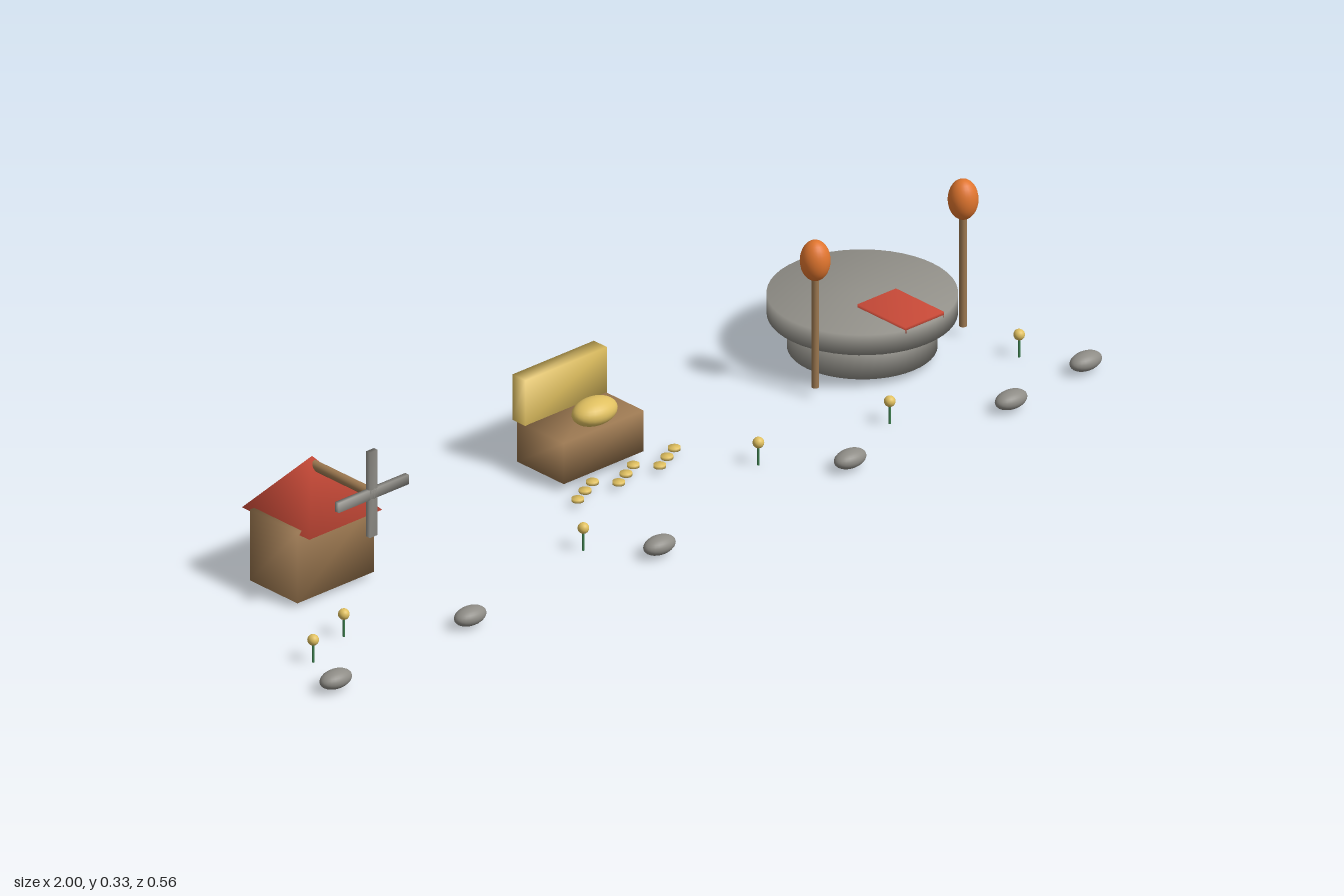
import * as THREE from 'three';
import { mergeVertices } from 'three/addons/utils/BufferGeometryUtils.js';

const material = (color) => new THREE.MeshStandardMaterial({ color });
const WOOD = material(0x9c7850);
const RED = material(0xc94a38);
const STONE = material(0x93918a);
const BLADE = material(0x8e8c86);
const GOLD = material(0xe0c060);
const FLAME = material(0xe0752e);
const GREEN = material(0x3f8050);

// Weld the corners so the shading runs softly over the edges
function soft(geometry) {
  geometry.deleteAttribute('uv');
  geometry.deleteAttribute('normal');
  const welded = mergeVertices(geometry, 1e-5);
  welded.computeVertexNormals();
  return welded;
}

function add(parent, name, geometry, mat, x, y, z) {
  const mesh = new THREE.Mesh(geometry, mat);
  mesh.name = name;
  mesh.position.set(x, y, z);
  parent.add(mesh);
  return mesh;
}

const box = (w, h, d) => soft(new THREE.BoxGeometry(w, h, d));
const disc = (r, h, sides = 48) => soft(new THREE.CylinderGeometry(r, r, h, sides));
const ellipsoid = (rx, ry, rz) => new THREE.SphereGeometry(1, 24, 16).scale(rx, ry, rz);

function group(parent, name, x, z) {
  const g = new THREE.Group();
  g.name = name;
  g.position.set(x, 0, z);
  parent.add(g);
  return g;
}

// Windmill: box house, pyramid roof, axle and crossed blades
function buildWindmill(parent) {
  const mill = group(parent, 'windmill', -0.691, -0.102);
  add(mill, 'millHouse', box(0.195, 0.148, 0.131), WOOD, 0, 0.084, 0);
  const roof = soft(new THREE.ConeGeometry(0.131, 0.11, 4).rotateY(Math.PI / 4));
  add(mill, 'millRoof', roof, RED, 0, 0.206, 0);
  const axle = soft(new THREE.CylinderGeometry(0.01, 0.01, 0.155, 16).rotateX(Math.PI / 2));
  add(mill, 'millAxle', axle, WOOD, 0, 0.244, 0.078);
  add(mill, 'verticalBlade', box(0.02, 0.178, 0.01), BLADE, 0, 0.244, 0.165);
  add(mill, 'horizontalBlade', box(0.178, 0.02, 0.01), BLADE, 0, 0.244, 0.165);
}

// Open chest with a gold heap and coins spilled in front
function buildChest(parent) {
  const chest = group(parent, 'treasureChest', 0.008, -0.12);
  add(chest, 'chestBody', box(0.203, 0.085, 0.128), WOOD, 0, 0.058, 0);
  add(chest, 'chestLid', box(0.207, 0.095, 0.036), GOLD, 0, 0.147, -0.057);
  add(chest, 'goldHeap', ellipsoid(0.05, 0.026, 0.034), GOLD, 0, 0.125, 0.039);

  const coins = group(parent, 'coins', 0, 0);
  for (let i = 0; i < 9; i++) {
    add(coins, 'coin', disc(0.012, 0.006, 16), GOLD,
      -0.115 + i * 0.0347, 0.014, 0.006 - (i % 3) * 0.0175);
  }
}

// Round two-tier stage with a red mat and a torch on each side
function buildStage(parent) {
  const stage = group(parent, 'roundStage', 0.708, -0.102);
  add(stage, 'lowerTier', disc(0.141, 0.063), STONE, 0, 0.047, 0);
  add(stage, 'upperTier', disc(0.179, 0.042), STONE, 0, 0.106, 0);
  add(stage, 'mat', box(0.098, 0.012, 0.133), RED, 0, 0.127, 0.106);
  for (const side of [-1, 1]) {
    const torch = group(stage, side < 0 ? 'rightTorch' : 'leftTorch', side * 0.188, 0.074);
    add(torch, 'torchPole', disc(0.0075, 0.235, 12), WOOD, 0, 0.138, 0);
    add(torch, 'torchFlame', ellipsoid(0.029, 0.041, 0.029), FLAME, 0, 0.285, 0);
  }
}

// Flowers and pebbles staggered in two rows
function buildGarden(parent) {
  [[-0.92, 0.149], [-0.805, 0.109], [-0.233, 0.149],
    [0.249, 0.109], [0.546, 0.149], [0.912, 0.109]].forEach(([x, z]) => {
    const flower = group(parent, 'flower', x, z);
    add(flower, 'stem', disc(0.0022, 0.044, 8), GREEN, 0, 0.022, 0);
    add(flower, 'bloom', ellipsoid(0.011, 0.011, 0.011), GOLD, 0, 0.047, 0);
  });
  [-0.965, -0.602, -0.142, 0.364, 0.752, 0.963].forEach((x, i) => {
    add(parent, 'pebble', ellipsoid(0.036, 0.018, 0.0225), BLADE, x, 0.022, i % 2 ? 0.237 : 0.26);
  });
}

export function createModel() {
  const model = new THREE.Group();
  model.name = 'fairground';
  buildWindmill(model);
  buildChest(model);
  buildStage(model);
  buildGarden(model);
  return model;
}
